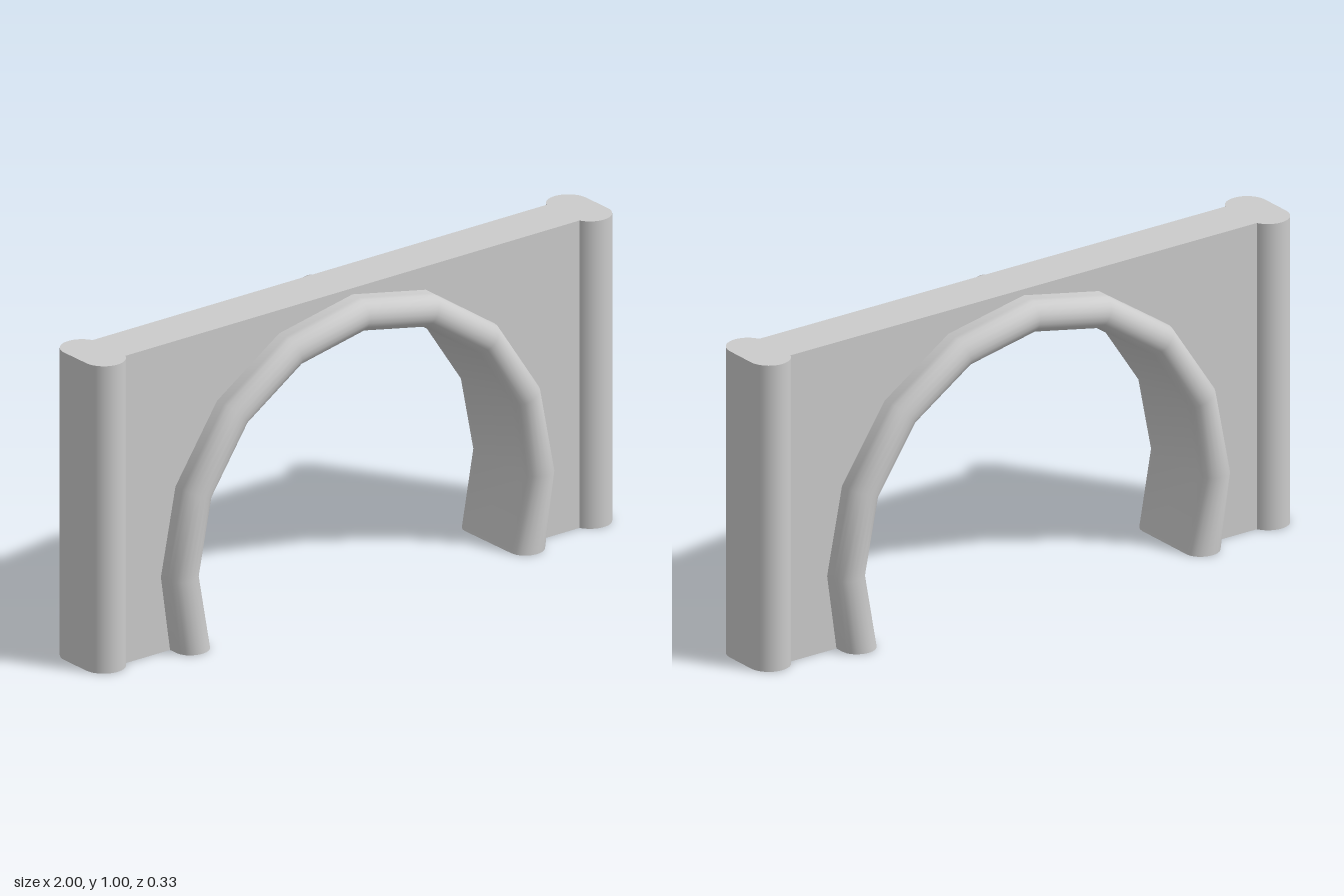
import * as THREE from 'three';

const material = new THREE.MeshStandardMaterial({ color: 0xcccccc });

// Arch outline: a 16-sided ring around (0, 0.245), cut off at the ground
const CENTRE_Y = 0.245, INNER = 0.63, OUTER = 0.735;
const ringPoint = (r, i) => {
  const a = (i * Math.PI) / 8;
  return new THREE.Vector2(r * Math.cos(a), CENTRE_Y + r * Math.sin(a));
};
function archPath(r, footX) {
  const points = [new THREE.Vector2(footX, 0)];
  for (let i = 0; i <= 8; i++) points.push(ringPoint(r, i));
  points.push(new THREE.Vector2(-footX, 0));
  return points;
}

// Capsule outline: width 2r across, rounded at both ends of the long axis
function capsule(r, halfLength, steps) {
  const points = [];
  for (const end of [0, 1]) {
    for (let i = 0; i <= steps; i++) {
      const a = Math.PI * (end + i / steps);
      const offset = end === 0 ? halfLength - r : r - halfLength;
      points.push(new THREE.Vector2(r * Math.cos(a), r * Math.sin(a) + offset));
    }
  }
  return points;
}

// Capsule section lofted between the inner and outer arch lines
function mouldingGeometry() {
  const inner = archPath(INNER, 0.585), outer = archPath(OUTER, 0.7);
  const half = (OUTER - INNER) / 2;
  const section = capsule(half, 0.165, 10);
  const n = section.length, positions = [], index = [];
  const addRing = (k) => {
    for (const s of section) {
      const p = inner[k].clone().lerp(outer[k], (s.x / half + 1) / 2);
      positions.push(p.x, p.y, s.y);
    }
  };
  inner.forEach((_, k) => addRing(k));
  for (let k = 0; k < inner.length - 1; k++) {
    for (let j = 0; j < n; j++) {
      const a = k * n + j, c = k * n + ((j + 1) % n);
      index.push(a, a + n, c, c, a + n, c + n);
    }
  }
  // Flat feet
  for (const k of [0, inner.length - 1]) {
    const base = positions.length / 3;
    addRing(k);
    for (let j = 1; j < n - 1; j++) {
      if (k === 0) index.push(base, base + j, base + j + 1);
      else index.push(base, base + j + 1, base + j);
    }
  }
  const geometry = new THREE.BufferGeometry();
  geometry.setAttribute('position', new THREE.Float32BufferAttribute(positions, 3));
  geometry.setIndex(index);
  geometry.computeVertexNormals();
  return geometry;
}

// Wall slab whose opening ends inside the moulding
function wallGeometry() {
  const opening = archPath((INNER + OUTER) / 2, 0.64);
  const shape = new THREE.Shape([
    new THREE.Vector2(0.9, 0), new THREE.Vector2(0.9, 1),
    new THREE.Vector2(-0.9, 1), new THREE.Vector2(-0.9, 0),
    ...opening.reverse(),
  ]);
  return new THREE.ExtrudeGeometry(shape, { depth: 0.16, bevelEnabled: false }).translate(0, 0, -0.08);
}

// Upright post with rounded front and back and flat sides
function postGeometry() {
  const r = 0.067, straight = 0.053;
  const shape = new THREE.Shape();
  shape.moveTo(r, -straight);
  shape.lineTo(r, straight);
  shape.absarc(0, straight, r, 0, Math.PI, false);
  shape.lineTo(-r, -straight);
  shape.absarc(0, -straight, r, Math.PI, 2 * Math.PI, false);
  const geometry = new THREE.ExtrudeGeometry(shape, { depth: 1, bevelEnabled: false, curveSegments: 12 });
  geometry.rotateX(-Math.PI / 2);
  // Smooth the rounded sides using the exact capsule normals
  const p = geometry.attributes.position, nor = geometry.attributes.normal;
  for (let i = 0; i < p.count; i++) {
    if (Math.abs(nor.getY(i)) > 0.5) continue;
    const z = p.getZ(i);
    const dz = z - THREE.MathUtils.clamp(z, -straight, straight);
    const v = new THREE.Vector3(p.getX(i), 0, dz).normalize();
    nor.setXYZ(i, v.x, 0, v.z);
  }
  return geometry;
}

export function createModel() {
  const group = new THREE.Group();
  group.name = 'archwayWall';
  const add = (name, geometry, x = 0) => {
    const mesh = new THREE.Mesh(geometry, material);
    mesh.name = name;
    mesh.position.x = x;
    group.add(mesh);
  };
  add('wall', wallGeometry());
  add('archMoulding', mouldingGeometry());
  const post = postGeometry();
  add('leftPost', post, 0.933);
  add('rightPost', post, -0.933);
  return group;
}
